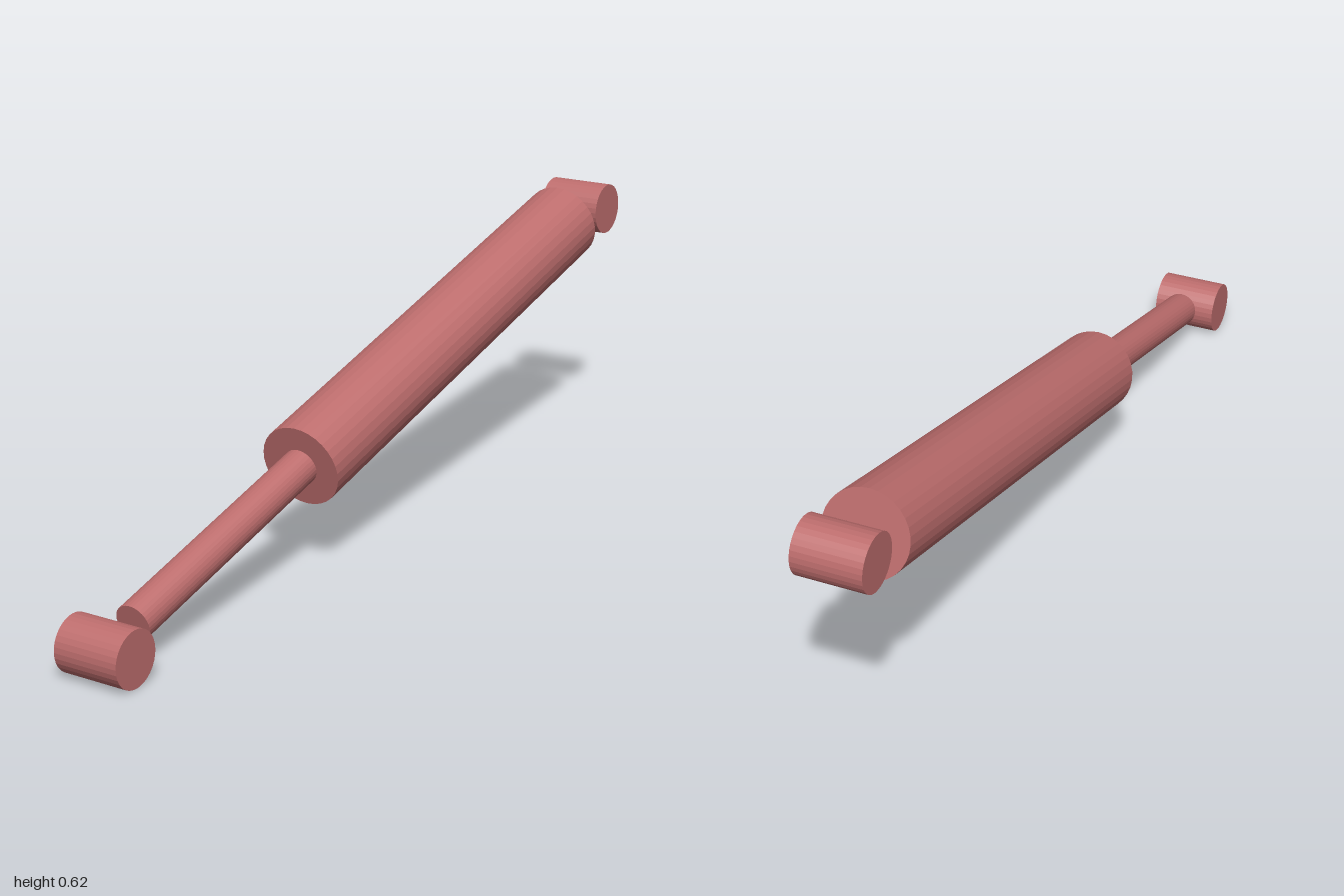
import * as THREE from 'three';

export function createModel() {
  const group = new THREE.Group();
  const red = new THREE.MeshStandardMaterial({ color: 0xbd6d6d, flatShading: true });
  red.name = 'dusty red';

  const SIDES = 32;
  const TILT = Math.atan2(0.49, 1.88);

  const addCylinder = (parent, name, radius, length) => {
    const mesh = new THREE.Mesh(new THREE.CylinderGeometry(radius, radius, length, SIDES), red);
    mesh.name = name;
    parent.add(mesh);
    return mesh;
  };

  // Tilted strut: its local z axis runs from the high rear to the low front
  const strut = new THREE.Group();
  strut.name = 'strut';
  strut.position.y = 0.307;
  strut.rotation.x = TILT;
  group.add(strut);

  const addAlong = (name, radius, start, end) => {
    const mesh = addCylinder(strut, name, radius, end - start);
    mesh.rotation.x = Math.PI / 2;
    mesh.position.z = (start + end) / 2;
  };
  addAlong('damperBody', 0.093, -0.871, 0.292);
  addAlong('pistonRod', 0.04, 0.28, 0.881);

  // Cross-mounted bushings at both ends
  for (const [name, y, z] of [['frontBushing', 0.06, 0.94], ['rearBushing', 0.55, -0.94]]) {
    const bushing = addCylinder(group, name, 0.06, 0.149);
    bushing.rotation.z = Math.PI / 2;
    bushing.position.set(0, y, z);
  }

  return group;
}
